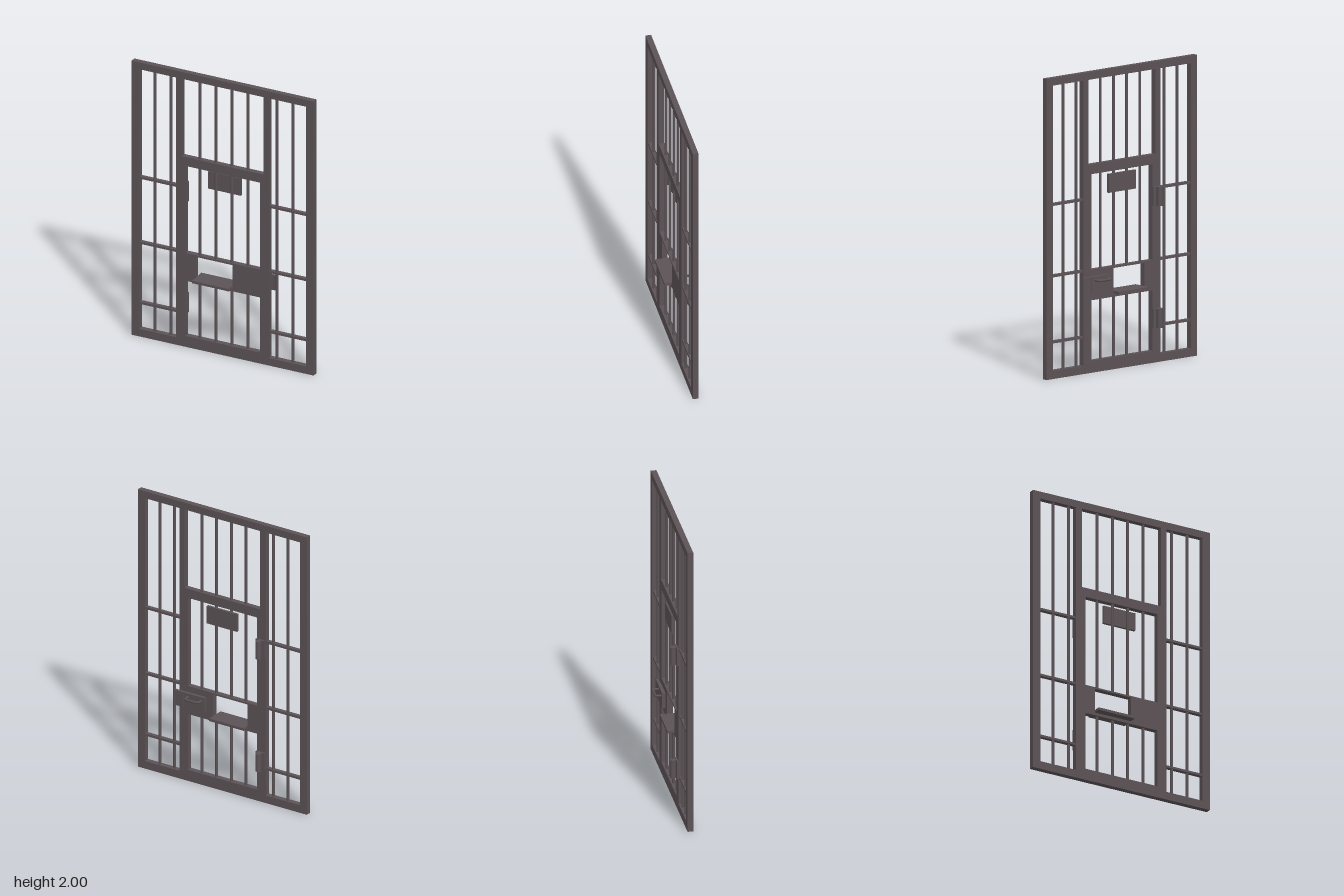
import * as THREE from 'three';

const BACK = -0.01, DEPTH = 0.038, MID = 0.009;

export function createModel() {
  const model = new THREE.Group();
  model.name = 'barredDoor';
  const steel = new THREE.MeshStandardMaterial({ color: 0x5b5256 });
  steel.name = 'dark steel';

  const add = (name, geometry, parent = model) => {
    const mesh = new THREE.Mesh(geometry, steel);
    mesh.name = name;
    parent.add(mesh);
    return mesh;
  };

  // Box given by its lower and upper limits on each axis
  const box = (name, x0, x1, y0, y1, z0, z1, parent) => {
    const mesh = add(name, new THREE.BoxGeometry(x1 - x0, y1 - y0, z1 - z0), parent);
    mesh.position.set((x0 + x1) / 2, (y0 + y1) / 2, (z0 + z1) / 2);
    return mesh;
  };

  // Flat panel with rectangular openings; rectangles are [x0, x1, y0, y1]
  const trace = (path, [x0, x1, y0, y1]) => {
    path.moveTo(x0, y0);
    path.lineTo(x1, y0);
    path.lineTo(x1, y1);
    path.lineTo(x0, y1);
    path.closePath();
    return path;
  };
  const panel = (name, outline, openings, parent) => {
    const shape = trace(new THREE.Shape(), outline);
    for (const o of openings) shape.holes.push(trace(new THREE.Path(), o));
    const geometry = new THREE.ExtrudeGeometry(shape, { depth: DEPTH, bevelEnabled: false });
    geometry.translate(0, 0, BACK);
    return add(name, geometry, parent);
  };

  const bar = (name, x, y0, y1, parent) => {
    const mesh = add(name, new THREE.CylinderGeometry(0.01, 0.01, y1 - y0, 12, 1, true), parent);
    mesh.position.set(x, (y0 + y1) / 2, MID);
  };

  // Fixed frame: two side bays, overhead bay and doorway
  panel('frame', [-0.667, 0.667, 0, 2], [
    [-0.612, -0.343, 0.055, 1.95],
    [0.34, 0.612, 0.055, 1.95],
    [-0.298, 0.298, 1.385, 1.95],
    [-0.298, 0.298, 0.055, 1.352],
  ]);

  // Side bay bars and crossbars
  for (const side of [-1, 1]) {
    for (const x of [0.39, 0.506]) bar('sideBar', side * x, 0.055, 1.95);
    for (const y of [0.243, 0.682, 1.157]) {
      const [a, b] = side < 0 ? [-0.612, -0.343] : [0.34, 0.612];
      box('sideCrossbar', a, b, y - 0.008, y + 0.008, MID - 0.014, MID + 0.014);
    }
  }

  // Door leaf with viewing bay, food slot and lower bay
  const door = new THREE.Group();
  door.name = 'door';
  model.add(door);
  panel('doorLeaf', [-0.298, 0.298, 0.055, 1.352], [
    [-0.272, 0.272, 0.685, 1.32],
    [-0.2, 0.073, 0.505, 0.673],
    [-0.272, 0.272, 0.08, 0.482],
  ], door);

  // Bars above and within the door
  for (const x of [-0.175, -0.058, 0.058, 0.175]) {
    bar('overheadBar', x, 1.385, 1.95);
    bar('upperDoorBar', x, 0.685, 1.32, door);
    bar('lowerDoorBar', x, 0.08, 0.482, door);
  }

  box('signPlate', -0.12, 0.12, 1.178, 1.303, -0.015, 0.002, door);
  box('slotTray', -0.2, 0.072, 0.502, 0.52, -0.058, 0.077, door);

  // Hinges on the back: mounting leaf and round knuckle
  for (const y of [0.298, 1.108]) {
    const hinge = new THREE.Group();
    hinge.name = 'hinge';
    model.add(hinge);
    box('hingeLeaf', -0.342, -0.27, y - 0.063, y + 0.063, -0.021, BACK, hinge);
    box('hingeWeb', -0.312, -0.3, y - 0.063, y + 0.063, -0.03, -0.02, hinge);
    add('hingeKnuckle', new THREE.CylinderGeometry(0.02, 0.02, 0.126, 16), hinge)
      .position.set(-0.306, y, -0.042);
  }

  // Lock case, keeper and pull handle on the back
  box('lockCase', 0.127, 0.292, 0.535, 0.642, -0.033, BACK, door);
  box('lockKeeper', 0.295, 0.362, 0.535, 0.642, -0.033, -0.013);
  const points = [
    [0.15, -0.03], [0.15, -0.058], [0.154, -0.068], [0.165, -0.073],
    [0.241, -0.073], [0.252, -0.068], [0.257, -0.058], [0.257, -0.03],
  ].map(([x, z]) => new THREE.Vector3(x, 0.617, z));
  const path = new THREE.CatmullRomCurve3(points, false, 'centripetal');
  add('pullHandle', new THREE.TubeGeometry(path, 40, 0.008, 10), door);

  return model;
}
